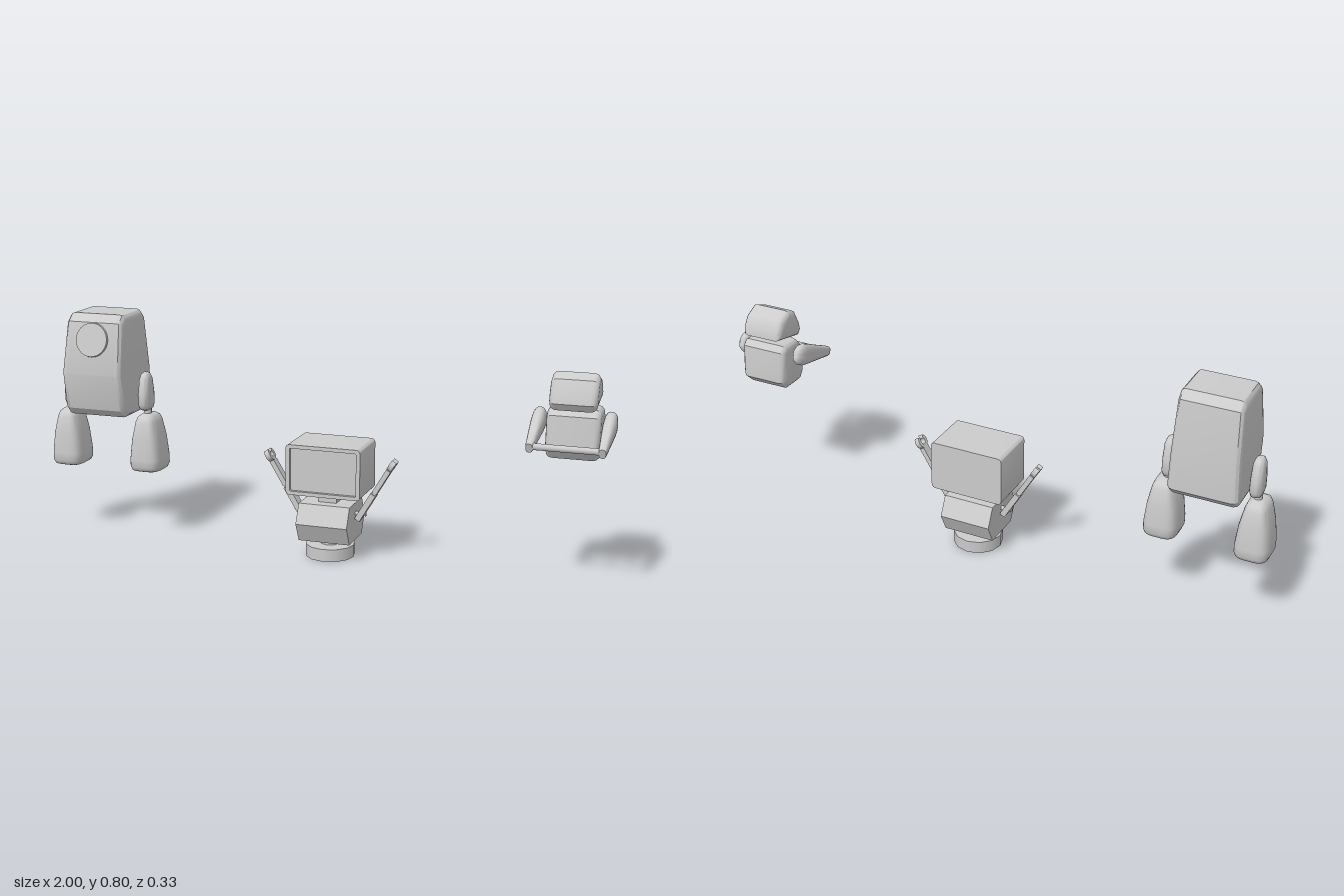
import * as THREE from 'three';
import { toCreasedNormals } from 'three/addons/utils/BufferGeometryUtils.js';

const grey = new THREE.MeshStandardMaterial({ color: 0xcccccc });

function add(parent, name, geo, x = 0, y = 0, z = 0) {
  const mesh = new THREE.Mesh(geo, grey);
  mesh.name = name;
  mesh.position.set(x, y, z);
  parent.add(mesh);
  return mesh;
}

// Side outline of [z, y] points, extruded across x with rounded side edges
function sideProfile(points, width, bevel) {
  const shape = new THREE.Shape(points.map(([z, y]) => new THREE.Vector2(-z, y)));
  const geo = new THREE.ExtrudeGeometry(shape, {
    depth: width - 2 * bevel, bevelEnabled: bevel > 0, bevelSize: bevel,
    bevelThickness: bevel, bevelOffset: -bevel, bevelSegments: 3,
  });
  geo.translate(0, 0, bevel - width / 2).rotateY(Math.PI / 2);
  return geo;
}

// Closed loft along y through superellipse sections [y, halfX, halfZ]
function loft(sections, power = 2, sides = 20) {
  const pos = [], index = [];
  const bend = (v) => Math.sign(v) * Math.abs(v) ** (2 / power);
  for (const [y, hx, hz] of sections) {
    for (let i = 0; i < sides; i++) {
      const a = ((i + 0.5) / sides) * Math.PI * 2;
      pos.push(hx * bend(Math.cos(a)), y, -hz * bend(Math.sin(a)));
    }
  }
  const last = (sections.length - 1) * sides, bottom = last + sides, top = bottom + 1;
  pos.push(0, sections[0][0], 0, 0, sections.at(-1)[0], 0);
  for (let i = 0; i < sides; i++) {
    const j = (i + 1) % sides;
    for (let r = 0; r < last; r += sides) {
      index.push(r + i, r + j, r + sides + j, r + i, r + sides + j, r + sides + i);
    }
    index.push(bottom, j, i, top, last + i, last + j);
  }
  const geo = new THREE.BufferGeometry();
  geo.setAttribute('position', new THREE.Float32BufferAttribute(pos, 3));
  geo.setIndex(index);
  return toCreasedNormals(geo, 0.8);
}

function roundedRect(w, h, r, Type = THREE.Shape) {
  const s = new Type(), x = w / 2 - r, y = h / 2 - r;
  s.absarc(x, y, r, 0, Math.PI / 2);
  s.absarc(-x, y, r, Math.PI / 2, Math.PI);
  s.absarc(-x, -y, r, Math.PI, Math.PI * 1.5);
  s.absarc(x, -y, r, Math.PI * 1.5, Math.PI * 2);
  return s;
}

// Tall hovering robot with heavy hands
function tallRobot() {
  const g = new THREE.Group();
  g.name = 'tallRobot';
  const body = sideProfile([
    [0.022, 0.803], [0.052, 0.777], [0.09, 0.6], [0.062, 0.472], [0.04, 0.447],
    [-0.14, 0.447], [-0.165, 0.472], [-0.165, 0.6], [-0.146, 0.777], [-0.12, 0.803],
  ], 0.236, 0.022);
  // narrow the body towards the top
  const p = body.attributes.position;
  for (let i = 0; i < p.count; i++) p.setX(i, p.getX(i) * (1 - 0.34 * (p.getY(i) - 0.447)));
  add(g, 'body', toCreasedNormals(body, 0.5));
  const tilt = 0.214;
  add(g, 'eye', new THREE.CylinderGeometry(0.058, 0.061, 0.018, 32), 0, 0.718, 0.064)
    .rotation.x = Math.PI / 2 - tilt;
  for (const s of [-1, 1]) {
    const arm = new THREE.Group();
    arm.name = s > 0 ? 'leftArm' : 'rightArm';
    add(arm, 'upperArm', loft([
      [0.458, 0.01, 0.02], [0.464, 0.018, 0.034], [0.48, 0.022, 0.041], [0.52, 0.022, 0.039],
      [0.57, 0.019, 0.03], [0.586, 0.014, 0.021], [0.593, 0.006, 0.01],
    ], 2.6), s * 0.143, 0, -0.052);
    add(arm, 'wrist', new THREE.CylinderGeometry(0.014, 0.014, 0.04, 12), s * 0.147, 0.455, -0.052);
    add(arm, 'hand', loft([
      [0.245, 0.044, 0.052], [0.249, 0.053, 0.063], [0.262, 0.058, 0.07], [0.29, 0.058, 0.07],
      [0.36, 0.05, 0.065], [0.42, 0.037, 0.056], [0.438, 0.03, 0.047], [0.447, 0.018, 0.03],
    ], 3.6, 28), s * 0.152, 0, -0.05);
    g.add(arm);
  }
  return g;
}

// Small robot on a round stand, with a screen head and claw arms
function screenRobot() {
  const g = new THREE.Group();
  g.name = 'screenRobot';
  add(g, 'base', new THREE.CylinderGeometry(0.085, 0.085, 0.043, 12), 0, 0.0215);
  add(g, 'waist', new THREE.CylinderGeometry(0.033, 0.033, 0.03, 8), 0, 0.053);
  add(g, 'body', sideProfile([
    [0.07, 0.063], [0.103, 0.129], [0.07, 0.195], [-0.07, 0.195], [-0.103, 0.129], [-0.07, 0.063],
  ], 0.181, 0));
  add(g, 'neck', new THREE.BoxGeometry(0.064, 0.05, 0.066), 0, 0.21);
  // head: solid block with a raised frame around the screen
  const block = new THREE.ExtrudeGeometry(roundedRect(0.262, 0.175, 0.013),
    { depth: 0.164, bevelEnabled: false, curveSegments: 5 });
  add(g, 'head', toCreasedNormals(block, 0.5), 0, 0.314, -0.089);
  const rim = roundedRect(0.262, 0.175, 0.013);
  rim.holes.push(roundedRect(0.234, 0.149, 0.004, THREE.Path));
  const frame = new THREE.ExtrudeGeometry(rim, { depth: 0.012, bevelEnabled: false, curveSegments: 5 });
  add(g, 'screenFrame', toCreasedNormals(frame, 0.5), 0, 0.314, 0.075);
  // open claw, pointing up
  const claw = new THREE.Shape();
  const gap = 0.62;
  claw.absarc(0, 0, 0.023, Math.PI / 2 + gap, Math.PI * 2.5 - gap, false);
  claw.absarc(0, 0, 0.011, Math.PI * 2.5 - gap, Math.PI / 2 + gap, true);
  const clawGeo = new THREE.ExtrudeGeometry(claw, { depth: 0.018, bevelEnabled: false, curveSegments: 10 });
  clawGeo.translate(0, 0, -0.009).rotateY(Math.PI / 2);
  for (const s of [-1, 1]) {
    add(g, 'shoulderPin', new THREE.CylinderGeometry(0.008, 0.008, 0.045, 8).rotateZ(Math.PI / 2),
      s * 0.105, 0.157);
    const arm = new THREE.Group();
    arm.name = s > 0 ? 'leftArm' : 'rightArm';
    arm.position.set(s * 0.11, 0.155, 0);
    arm.rotation.z = -s * 0.54;
    add(arm, 'upperArm', new THREE.BoxGeometry(0.02, 0.11, 0.034), 0, 0.034);
    add(arm, 'elbow', new THREE.BoxGeometry(0.013, 0.014, 0.024), 0, 0.092);
    add(arm, 'forearm', new THREE.BoxGeometry(0.017, 0.096, 0.03), 0, 0.143);
    add(arm, 'claw', clawGeo, 0, 0.212);
    g.add(arm);
  }
  return g;
}

// Small hovering robot holding a bar
function carrierRobot() {
  const g = new THREE.Group();
  g.name = 'carrierRobot';
  add(g, 'head', toCreasedNormals(sideProfile([
    [0.058, 0.611], [0.052, 0.64], [0.03, 0.686], [-0.012, 0.703], [-0.06, 0.68],
    [-0.082, 0.642], [-0.085, 0.615], [0.042, 0.588],
  ], 0.153, 0.02), 0.6));
  add(g, 'neck', new THREE.CylinderGeometry(0.019, 0.019, 0.04, 12), 0, 0.598, -0.02);
  add(g, 'body', toCreasedNormals(sideProfile([
    [0.012, 0.59], [0.034, 0.568], [0.043, 0.458], [0.02, 0.427], [-0.062, 0.427],
    [-0.09, 0.455], [-0.09, 0.49], [-0.082, 0.57], [-0.063, 0.59],
  ], 0.173, 0.02), 0.6));
  for (const s of [-1, 1]) {
    add(g, s > 0 ? 'leftArm' : 'rightArm', loft([
      [-0.039, 0.006, 0.01], [-0.031, 0.014, 0.024], [-0.015, 0.02, 0.035], [0.005, 0.022, 0.039],
      [0.04, 0.022, 0.035], [0.1, 0.018, 0.027], [0.165, 0.013, 0.019], [0.177, 0.011, 0.016],
    ], 2.5), s * 0.113, 0.545, -0.012).rotation.x = 1.905;
  }
  add(g, 'bar', new THREE.CylinderGeometry(0.011, 0.011, 0.23, 12).rotateZ(Math.PI / 2), 0, 0.491, 0.144);
  return g;
}

export function createModel() {
  const model = new THREE.Group();
  model.name = 'robotTrio';
  const tall = tallRobot(), screen = screenRobot(), carrier = carrierRobot();
  tall.position.x = -0.79;
  screen.position.set(0.038, 0, -0.044);
  carrier.position.x = 0.864;
  model.add(tall, screen, carrier);
  return model;
}
